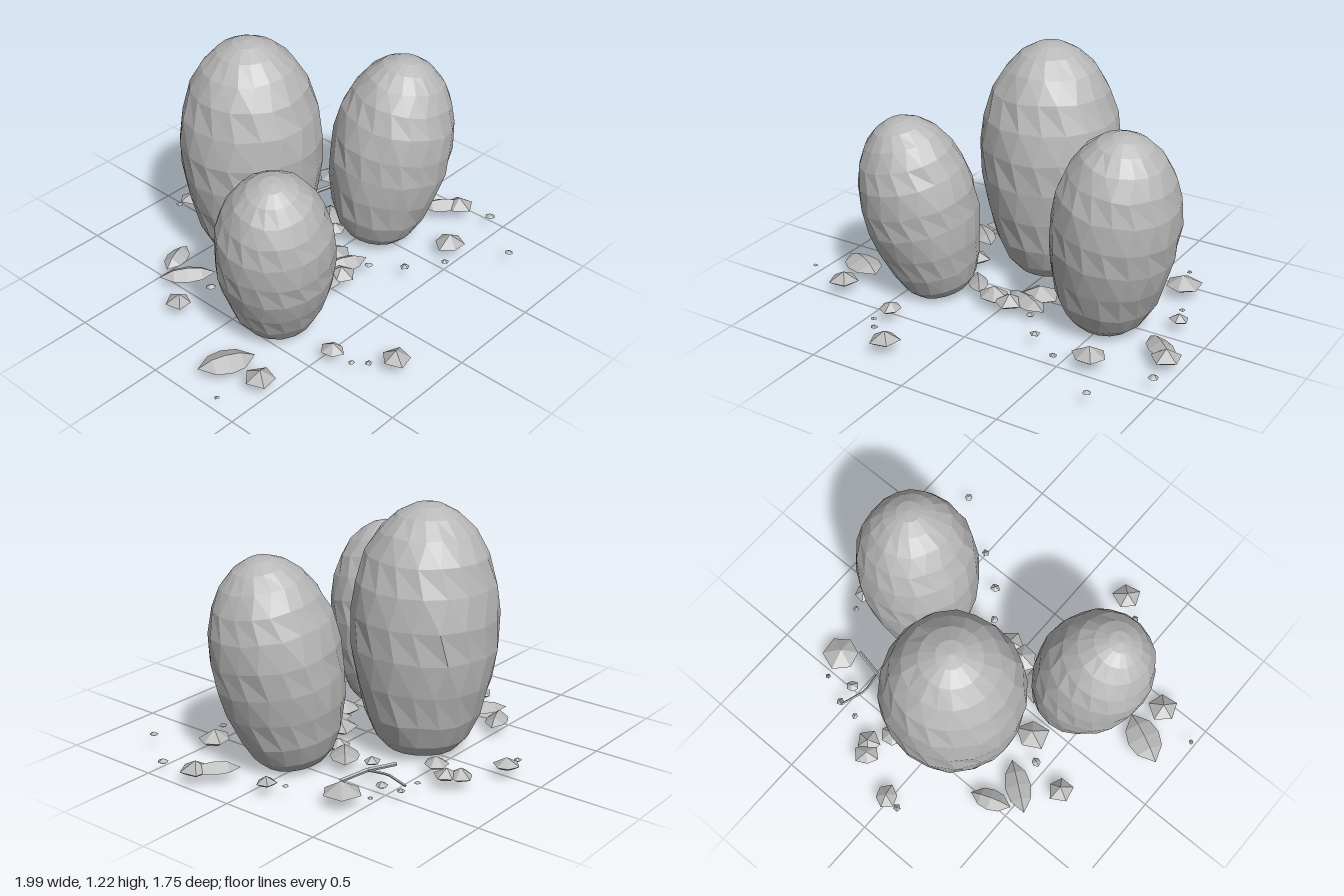
import * as THREE from 'three';

// Repeatable noise in -1..1
function noise(a, b, c) {
  const s = Math.sin(a * 127.1 + b * 311.7 + c * 74.7) * 43758.5453;
  return (s - Math.floor(s)) * 2 - 1;
}

// Egg profile from base to tip: [radius, height], both 0..1
const EGG = [[0, 0], [0.5, 0], [0.65, 0.05], [0.8, 0.15], [0.92, 0.29], [0.99, 0.43], [1, 0.56],
  [0.94, 0.69], [0.82, 0.8], [0.64, 0.89], [0.42, 0.955], [0.2, 0.99], [0, 1]];

// Faceted egg standing along the line from base to top
function eggGeometry(base, top, radius, seed) {
  const sides = 18;
  const a = new THREE.Vector3(...base), axis = new THREE.Vector3(...top).sub(a);
  const length = axis.length();
  const g = new THREE.LatheGeometry(EGG.map(([r, t]) => new THREE.Vector2(r * radius, t * length)), sides);
  const pos = g.attributes.position;
  for (let i = 0; i < pos.count; i++) {
    const ring = i % EGG.length, side = Math.floor(i / EGG.length) % sides;
    const rough = ring > 2 && ring < 10 ? 1 : 0;
    const r = EGG[ring][0] * radius * (1 + rough * 0.015 * noise(ring, side, seed));
    const twist = rough * ((ring % 2 ? 0.15 : -0.15) + 0.06 * noise(side, ring, seed + 5));
    const angle = ((side + twist) / sides) * Math.PI * 2;
    const y = EGG[ring][1] * length + rough * 0.006 * noise(ring + 9, side, seed);
    pos.setXYZ(i, r * Math.sin(angle), y, r * Math.cos(angle));
  }
  g.applyQuaternion(new THREE.Quaternion().setFromUnitVectors(new THREE.Vector3(0, 1, 0), axis.normalize()));
  g.translate(a.x, a.y, a.z);
  g.computeVertexNormals();
  return g;
}

// Low stone: irregular pyramid with a shallow underside
function stoneGeometry(x, z, r, seed) {
  const sides = 5 + (seed % 2);
  const profile = [[0, 0], [0.6, 0.02], [1, 0.3], [0, 1]];
  const height = Math.min(0.07, r * 0.9);
  const g = new THREE.LatheGeometry(profile.map(([pr, py]) => new THREE.Vector2(pr * r, py * height)), sides);
  const pos = g.attributes.position;
  for (let i = 0; i < pos.count; i++) {
    const side = Math.floor(i / profile.length) % sides;
    const k = 1 + 0.15 * noise(side, seed, 3);
    pos.setX(i, pos.getX(i) * k);
    pos.setZ(i, pos.getZ(i) * k);
  }
  g.rotateY(seed * 1.3);
  g.translate(x, 0.055 - height * 0.25, z);
  g.computeVertexNormals();
  return g;
}

// Arched leaf-like shell fragment between two ground points
function shardGeometry(x1, z1, x2, z2, width) {
  const length = Math.hypot(x2 - x1, z2 - z1);
  const g = new THREE.PlaneGeometry(1, 1, 4, 2).rotateX(-Math.PI / 2);
  const pos = g.attributes.position;
  for (let i = 0; i < pos.count; i++) {
    const u = pos.getX(i), v = pos.getZ(i);
    const spread = Math.pow(Math.max(0, Math.cos(u * Math.PI)), 0.6);
    pos.setXYZ(i, u * length, 0.055 + 0.04 * spread * (1 - 4 * v * v), v * width * spread);
  }
  g.rotateY(-Math.atan2(z2 - z1, x2 - x1));
  g.translate((x1 + x2) / 2, 0, (z1 + z2) / 2);
  g.computeVertexNormals();
  return g;
}

// Thin angular twig through points
function twigGeometry(points, r) {
  const curve = new THREE.CatmullRomCurve3(points.map(p => new THREE.Vector3(...p)), false, 'catmullrom', 0);
  return new THREE.TubeGeometry(curve, 8, r, 5);
}

export function createModel() {
  const model = new THREE.Group();
  const gray = new THREE.MeshStandardMaterial({ color: 0xb8b8b8, flatShading: true, side: THREE.DoubleSide });
  gray.name = 'stone gray';
  const add = (parent, name, geometry) => {
    const mesh = new THREE.Mesh(geometry, gray);
    mesh.name = name;
    parent.add(mesh);
  };
  const group = name => {
    const g = new THREE.Group();
    g.name = name;
    model.add(g);
    return g;
  };

  // Three eggs
  const eggs = group('eggs');
  add(eggs, 'tallEgg', eggGeometry([-0.01, 0.03, -0.32], [-0.035, 1.21, -0.33], 0.35, 1));
  add(eggs, 'rightEgg', eggGeometry([-0.355, 0.025, 0.165], [-0.515, 0.92, 0.29], 0.28, 2));
  add(eggs, 'leftEgg', eggGeometry([0.49, 0.03, 0.04], [0.625, 1.02, 0.125], 0.303, 3));

  // Scattered stones: x, z, radius
  const stones = group('stones');
  [
    [0.01, -0.82, 0.06], [-0.07, -0.83, 0.02], [0.23, -0.72, 0.06], [0.27, -0.67, 0.06],
    [0.41, -0.61, 0.015], [0.52, -0.6, 0.02], [0.53, -0.5, 0.03], [0.66, -0.54, 0.015],
    [0.69, -0.4, 0.09], [0.36, -0.31, 0.04], [0.2, -0.56, 0.06], [-0.63, -0.23, 0.065],
    [-0.45, -0.2, 0.025], [-0.34, -0.1, 0.08], [-0.98, 0.39, 0.013], [-0.76, 0.44, 0.07],
    [-0.39, 0.55, 0.055], [-0.24, 0.8, 0.07], [-0.4, 0.67, 0.015], [-0.35, 0.73, 0.018],
    [0.77, 0.7, 0.02], [0.49, 0.51, 0.02], [0.63, 0.43, 0.08], [0.32, 0.39, 0.025],
    [0.96, 0.44, 0.025], [0.93, 0.26, 0.07], [0.8, -0.17, 0.015], [0.83, -0.08, 0.05],
    [0.21, 0.25, 0.02], [0.06, 0.2, 0.07], [-0.04, 0.18, 0.08], [0.15, 0.06, 0.1], [0.32, -0.08, 0.06],
  ].forEach(([x, z, r], i) => add(stones, 'stone', stoneGeometry(x, z, r, i + 1)));

  // Broken shell fragments: two tips and width
  const shards = group('shellFragments');
  [
    [-0.57, -0.44, -0.35, -0.27, 0.13], [-0.5, -0.46, -0.3, -0.53, 0.11], [-0.91, 0.19, -0.66, 0.31, 0.17],
    [0.0, 0.1, 0.25, 0.2, 0.13], [0.3, -0.1, 0.47, -0.24, 0.14], [0.78, 0.12, 0.96, 0.27, 0.12],
    [-0.24, 0.03, -0.12, 0.19, 0.1],
  ].forEach(s => add(shards, 'shellFragment', shardGeometry(...s)));

  // Forked twig
  const twig = group('twig');
  add(twig, 'twigStem', twigGeometry([[0.32, 0.06, -0.42], [0.47, 0.07, -0.37], [0.62, 0.065, -0.34]], 0.01));
  add(twig, 'twigBranch', twigGeometry([[0.47, 0.07, -0.37], [0.455, 0.075, -0.48], [0.5, 0.075, -0.61]], 0.006));

  return model;
}
